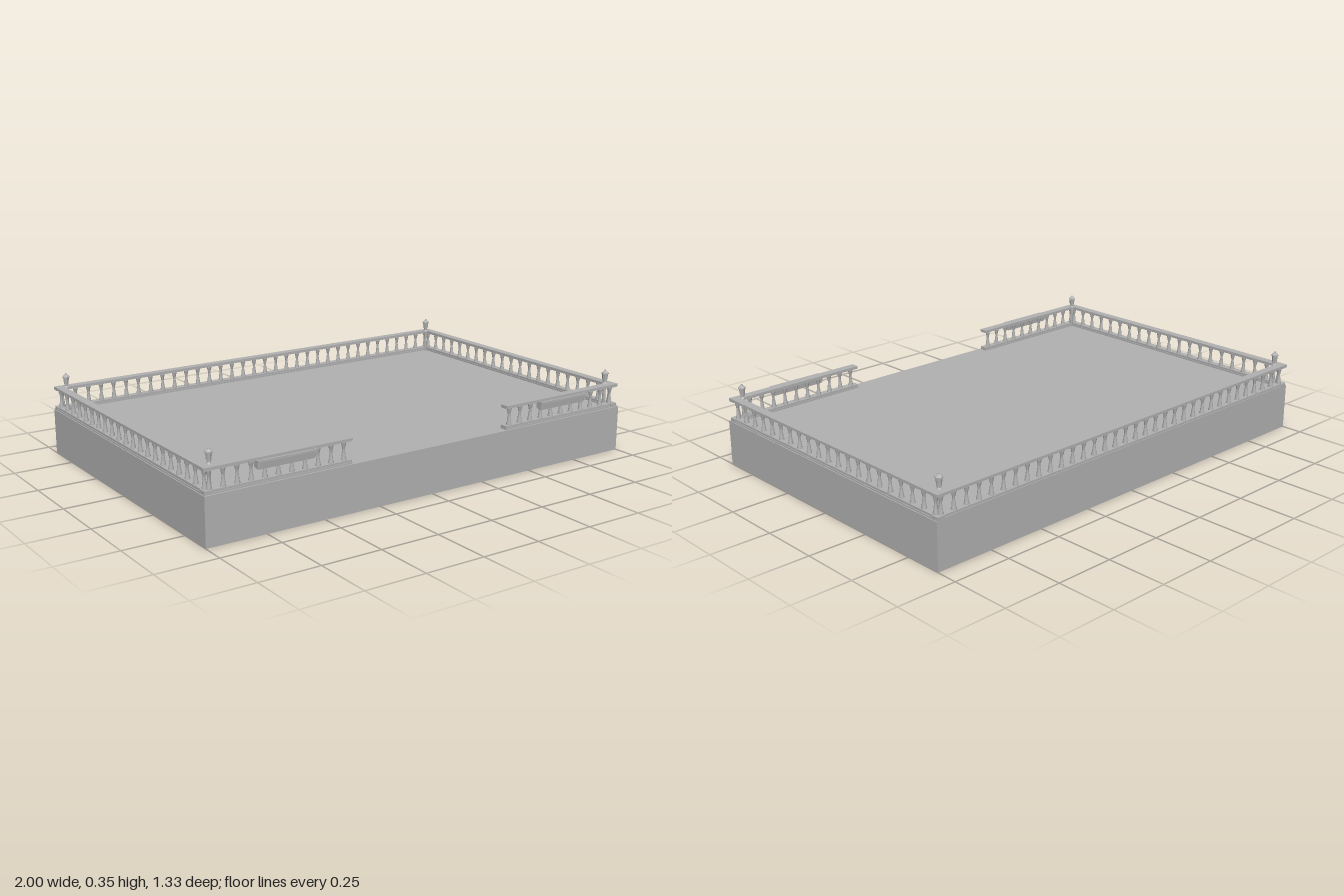
import * as THREE from 'three';

export function createModel() {
  const model = new THREE.Group();
  const stone = new THREE.MeshStandardMaterial({ color: 0xb2b2b2 });
  stone.name = 'stone grey';

  const add = (parent, name, geometry, x, y, z) => {
    const mesh = new THREE.Mesh(geometry, stone);
    mesh.name = name;
    mesh.position.set(x, y, z);
    parent.add(mesh);
    return mesh;
  };
  // Box given by its limits
  const block = (parent, name, x0, x1, y0, y1, z0, z1) =>
    add(parent, name, new THREE.BoxGeometry(x1 - x0, y1 - y0, z1 - z0),
      (x0 + x1) / 2, (y0 + y1) / 2, (z0 + z1) / 2);

  // Terrace slab
  block(model, 'terraceBase', -1, 1, 0, 0.192, -0.66, 0.652);

  // Turned baluster, pinched in the middle
  const profile = [
    [0, 0.202], [0.011, 0.202], [0.011, 0.209], [0.009, 0.214], [0.007, 0.232],
    [0.005, 0.245], [0.006, 0.256], [0.010, 0.272], [0.011, 0.281], [0, 0.281],
  ].map(([r, y]) => new THREE.Vector2(r, y));
  const balusterGeometry = new THREE.LatheGeometry(profile, 10);

  // Straight run of balustrade between two points along x or z
  function balustrade(name, x0, z0, x1, z1, count) {
    const run = new THREE.Group();
    run.name = name;
    const alongX = z0 === z1;
    const rail = (part, half, y0, y1) => block(run, part,
      x0 - (alongX ? 0 : half), x1 + (alongX ? 0 : half), y0, y1,
      z0 - (alongX ? half : 0), z1 + (alongX ? half : 0));
    rail('plinth', 0.018, 0.192, 0.198);
    rail('bottomRail', 0.015, 0.198, 0.207);
    rail('topRailMoulding', 0.014, 0.278, 0.282);
    rail('topRail', 0.018, 0.281, 0.291);
    for (let i = 0; i < count; i++) {
      const t = (i + 0.5) / count;
      add(run, 'baluster', balusterGeometry, x0 + (x1 - x0) * t, 0, z0 + (z1 - z0) * t);
    }
    model.add(run);
  }

  const railX = 0.978, frontZ = 0.627, backZ = -0.642;
  balustrade('backBalustrade', -0.996, backZ, 0.996, backZ, 34);
  balustrade('leftBalustrade', railX, backZ - 0.018, railX, frontZ + 0.018, 21);
  balustrade('rightBalustrade', -railX, backZ - 0.018, -railX, frontZ + 0.018, 21);
  balustrade('frontLeftBalustrade', 0.375, frontZ, 0.996, frontZ, 11);
  balustrade('frontRightBalustrade', -0.996, frontZ, -0.375, frontZ, 11);

  // Corner lanterns: foot, tapered hexagonal body, roof and finial
  for (const x of [-0.955, 0.955]) {
    for (const z of [-0.622, 0.608]) {
      const lantern = new THREE.Group();
      lantern.name = 'cornerLantern';
      lantern.position.set(x, 0, z);
      const turned = (name, top, bottom, y0, y1) => add(lantern, name,
        new THREE.CylinderGeometry(top, bottom, y1 - y0, 8).toNonIndexed(), 0, (y0 + y1) / 2, 0)
        .geometry.computeVertexNormals();
      turned('post', 0.007, 0.007, 0.192, 0.297);
      turned('foot', 0.008, 0.012, 0.291, 0.297);
      turned('stem', 0.008, 0.008, 0.297, 0.306);
      turned('body', 0.013, 0.010, 0.306, 0.333);
      turned('roofRim', 0.016, 0.016, 0.333, 0.337);
      turned('roof', 0.006, 0.015, 0.337, 0.345);
      turned('finial', 0.003, 0.004, 0.345, 0.351);
      model.add(lantern);
    }
  }

  // Flower boxes hung on the front rails
  for (const side of [-1, 1]) {
    const box = new THREE.Group();
    box.name = 'flowerBox';
    box.position.x = side * 0.667;
    // Open trough, sloping inwards to its floor
    const section = new THREE.Shape([
      [0.632, 0.285], [0.635, 0.250], [0.658, 0.250], [0.662, 0.285],
      [0.657, 0.285], [0.654, 0.256], [0.640, 0.256], [0.637, 0.285],
    ].map(([z, y]) => new THREE.Vector2(-z, y)));
    const trough = add(box, 'trough',
      new THREE.ExtrudeGeometry(section, { depth: 0.236, bevelEnabled: false }), -0.118, 0, 0);
    trough.rotation.y = Math.PI / 2;
    block(box, 'soil', -0.117, 0.117, 0.256, 0.276, 0.638, 0.656);
    block(box, 'frontRim', -0.123, 0.123, 0.277, 0.285, 0.657, 0.665);
    for (const end of [-1, 1]) {
      block(box, 'endPanel', end * 0.12 - 0.003, end * 0.12 + 0.003, 0.256, 0.285, 0.633, 0.662);
    }
    model.add(box);
  }

  return model;
}
